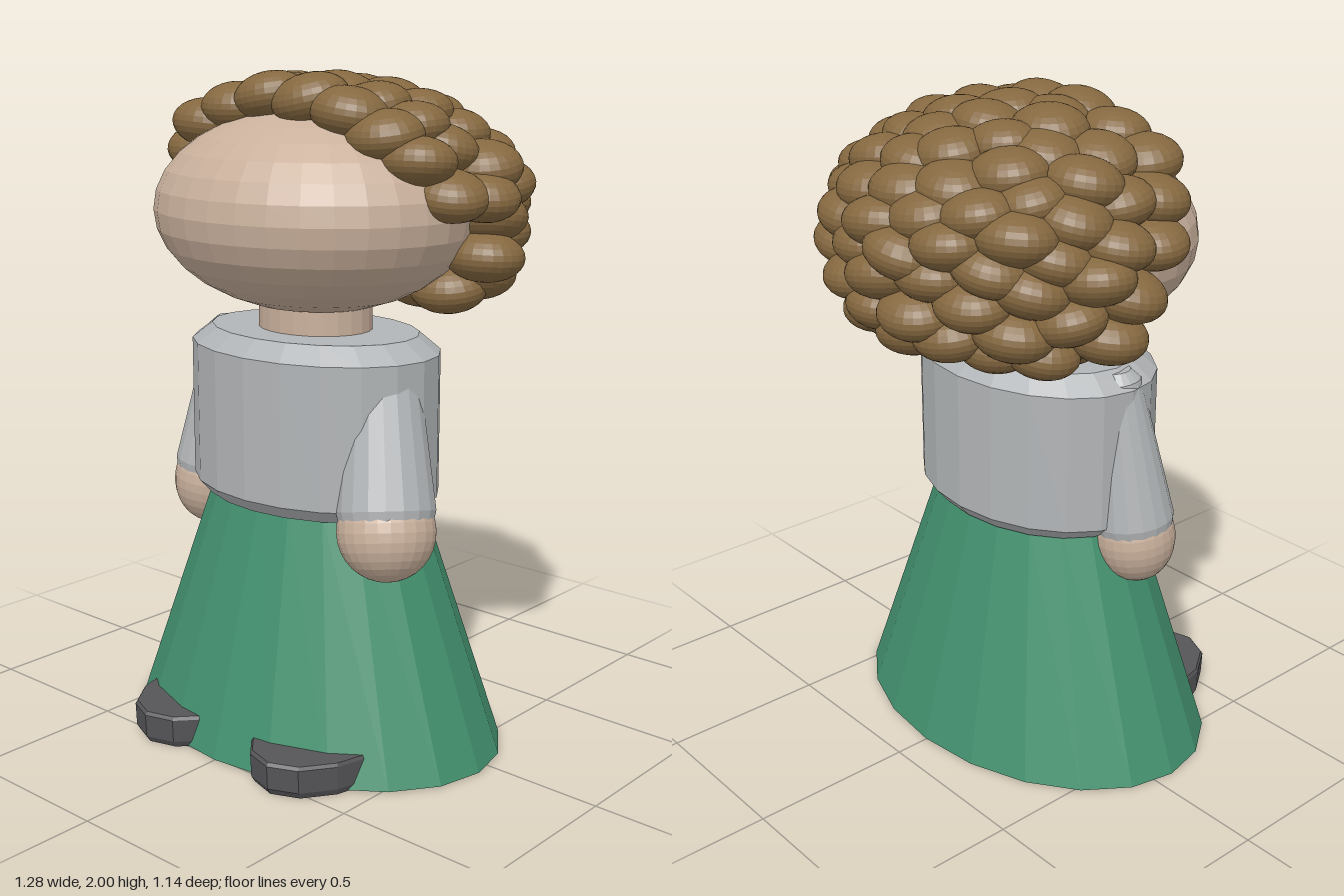
import * as THREE from 'three';

const mat = (color) => new THREE.MeshStandardMaterial({ color, flatShading: true });

export function createModel() {
  const model = new THREE.Group();
  const skin = mat(0xc9b09c), shirt = mat(0xb2b5b7), green = mat(0x43916f);
  const brown = mat(0x856840), dark = mat(0x555558);

  const add = (name, geometry, material, parent = model) => {
    const mesh = new THREE.Mesh(geometry, material);
    mesh.name = name;
    parent.add(mesh);
    return mesh;
  };
  // closed turned body of oval cross-section: profile of [radius, y], then depth scale and position
  const oval = (name, profile, sides, depth, x, z, material) => {
    const points = profile.map(([r, y]) => new THREE.Vector2(r, y));
    const mesh = add(name, new THREE.LatheGeometry(points, sides), material);
    mesh.scale.z = depth;
    mesh.position.set(x, 0, z);
    return mesh;
  };

  // skirt, shirt, neck and head
  oval('skirt', [[0, 0.003], [0.64, 0.003], [0.36, 0.75], [0, 0.75]], 20, 0.71, 0, 0.06, green);
  oval('shirtBody', [[0, 0.735], [0.375, 0.735], [0.42, 0.775], [0.42, 1.2], [0.35, 1.25], [0, 1.25]],
    20, 0.727, 0, 0.065, shirt);
  oval('neck', [[0, 1.2], [0.183, 1.2], [0.183, 1.4], [0, 1.4]], 24, 0.84, 0, 0.06, skin);
  const head = add('head', new THREE.SphereGeometry(1, 32, 16), skin);
  head.scale.set(0.505, 0.3, 0.44);
  head.position.set(-0.005, 1.6, 0.06);

  // tapered sleeves with rounded hands
  const arm = (side, top, bottom, rTop, rBottom) => {
    const a = new THREE.Vector3(...top), b = new THREE.Vector3(...bottom);
    const length = a.distanceTo(b);
    const group = new THREE.Group();
    group.name = side + 'Arm';
    group.position.copy(b);
    group.quaternion.setFromUnitVectors(new THREE.Vector3(0, 1, 0), a.clone().sub(b).normalize());
    const profile = [[0, -0.01], [rBottom * 0.95, -0.01], [rBottom, 0.02], [rTop, length - 0.03],
      [rTop * 0.6, length], [0, length]].map(([r, y]) => new THREE.Vector2(r, y));
    add(side + 'Sleeve', new THREE.LatheGeometry(profile, 18), shirt, group);
    const hand = add(side + 'Hand', new THREE.SphereGeometry(1, 24, 16), skin, group);
    hand.scale.set(rBottom * 0.99, 0.145, rBottom * 0.99);
    hand.position.y = -0.04;
    model.add(group);
  };
  arm('left', [0.28, 1.19, 0.085], [0.375, 0.755, 0.175], 0.108, 0.146);
  arm('right', [-0.34, 1.24, 0.075], [-0.392, 0.755, 0.11], 0.068, 0.124);

  // legs inside the skirt and oval shoes
  for (const [side, s, x, base] of [['left', 1, 0.25, 0.02], ['right', -1, -0.22, 0.0015]]) {
    oval(side + 'Leg', [[0, base], [0.18, base], [0.13, 0.6], [0, 0.6]], 20, 0.9, s * 0.22, 0.05, skin);
    const shoe = oval(side + 'Shoe', [[0, 0], [0.195, 0], [0.203, 0.02], [0.205, 0.09], [0.2, 0.1], [0, 0.1]],
      14, 1.58, x, 0.245, dark);
    shoe.rotation.y = s * 0.06;
  }

  // curls over the crown, sides and back of the head
  let seed = 7;
  const jitter = (amount) => {
    seed = (seed * 16807) % 2147483647;
    return (seed / 2147483647 - 0.5) * amount;
  };
  const hair = new THREE.Group();
  hair.name = 'hair';
  model.add(hair);
  const curlGeometry = new THREE.SphereGeometry(1, 24, 14);
  const addCurl = (x, y, z) => {
    const mesh = add('curl', curlGeometry, brown, hair);
    mesh.scale.set(0.12, 0.073, 0.106).multiplyScalar(1 + jitter(0.08));
    mesh.position.set(x, y, z);
    mesh.rotation.set(jitter(0.4), 0, jitter(0.4));
  };
  // the hairline recedes toward the jaw
  const hairline = (y) => THREE.MathUtils.clamp(0.19 + (y - 1.9) * 0.65, -0.09, 0.155);

  // front row along the hairline
  for (let i = 0; i < 10; i++) {
    const angle = -1.35 + i * 0.3;
    const y = 1.6 + 0.325 * Math.cos(angle) + jitter(0.02);
    addCurl(0.49 * Math.sin(angle), y, hairline(y) + jitter(0.03));
  }
  // evenly spread curls behind it, leaving out those buried in the head
  const count = 165;
  for (let i = 0; i < count; i++) {
    const v = 1 - (2 * i + 1) / count;
    const ring = Math.sqrt(1 - v * v), angle = i * Math.PI * (3 - Math.sqrt(5));
    const x = 0.515 * ring * Math.cos(angle) + jitter(0.04);
    const y = Math.max(1.385, 1.6 + v * (v > 0 ? 0.33 : 0.46) + jitter(0.02));
    const z = 0.465 * ring * Math.sin(angle) + jitter(0.03);
    const limit = y > 1.64 ? hairline(y) - 0.07 : hairline(y);
    const buried = Math.hypot(x / 0.505, (y - 1.6) / 0.3, (z - 0.06) / 0.44) < 0.85;
    if (z < limit && !buried) addCurl(x, y, z);
  }
  return model;
}
